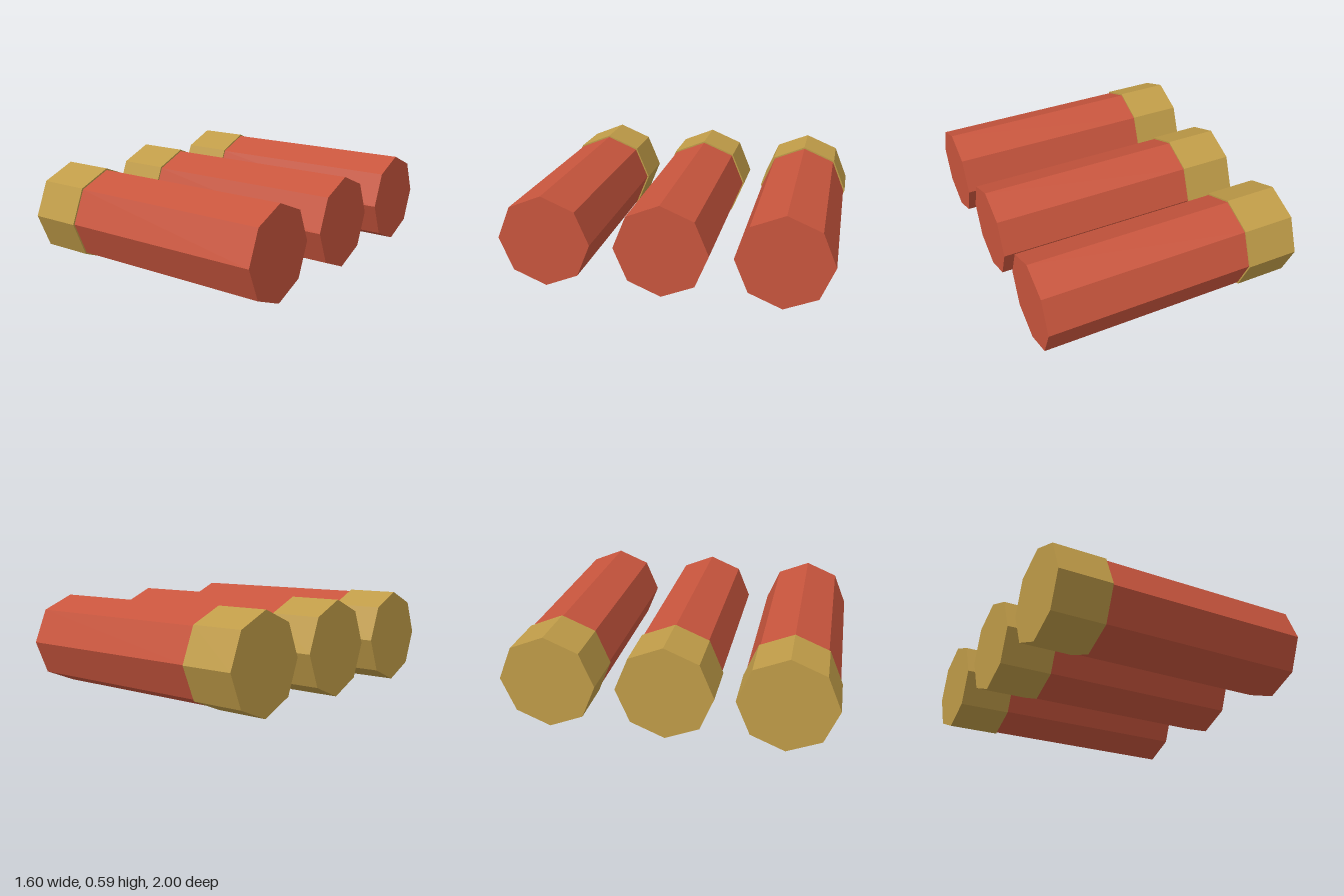
import * as THREE from 'three';

// Octagonal prism lying along x from x0 to x1, with an edge at the top
function prism(name, radius, x0, x1, material) {
  const geometry = new THREE.CylinderGeometry(radius, radius, x1 - x0, 8).toNonIndexed();
  geometry.rotateZ(-Math.PI / 2);
  geometry.computeVertexNormals(); // faceted sides
  const mesh = new THREE.Mesh(geometry, material);
  mesh.name = name;
  mesh.position.x = (x0 + x1) / 2;
  return mesh;
}

export function createModel() {
  const red = new THREE.MeshStandardMaterial({ color: 0xc8553d });
  red.name = 'red casing';
  const brass = new THREE.MeshStandardMaterial({ color: 0xc09c48 });
  brass.name = 'brass';

  const model = new THREE.Group();
  model.name = 'shells';

  // Three identical shells side by side
  const radius = 0.293;
  for (const z of [-0.707, 0, 0.707]) {
    const shell = new THREE.Group();
    shell.name = 'shell';
    shell.add(prism('casing', 0.283, -0.49, 0.802, red));
    shell.add(prism('brassBase', radius, -0.802, -0.477, brass));
    shell.position.set(0, radius, z);
    model.add(shell);
  }
  return model;
}
